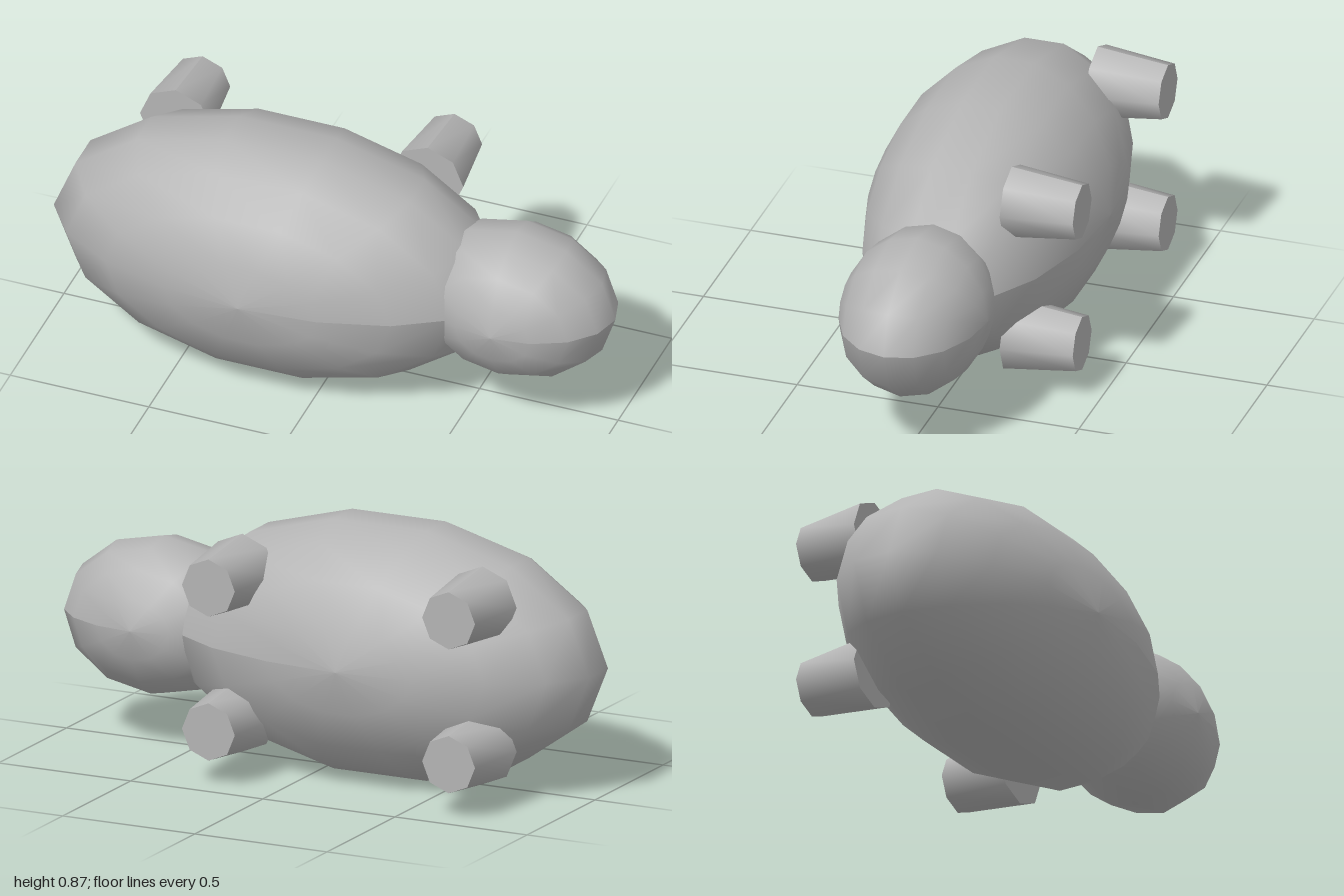
import * as THREE from 'three';

export function createModel() {
  const group = new THREE.Group();
  const grey = new THREE.MeshStandardMaterial({ color: 0xb4b4b4 });
  grey.name = 'grey';

  function add(name, geometry, x, y, z) {
    geometry.computeVertexNormals();
    const mesh = new THREE.Mesh(geometry, grey);
    mesh.name = name;
    mesh.position.set(x, y, z);
    group.add(mesh);
  }

  // Ellipsoid with its poles on the z axis and its seam on the +x side
  function ellipsoid(rx, ry, rz, segments, rings) {
    return new THREE.SphereGeometry(1, segments, rings)
      .rotateX(Math.PI / 2)
      .rotateZ(Math.PI)
      .scale(rx, ry, rz);
  }

  add('body', ellipsoid(0.803, 0.454, 0.401, 14, 9), -0.209, 0.436, 0.026);
  add('head', ellipsoid(0.355, 0.275, 0.252, 12, 8), 0.645, 0.436, 0.026);

  // Four tapered stub legs pointing backwards
  for (const [end, x] of [['front', 0.244], ['rear', -0.665]]) {
    for (const [side, dy] of [['Upper', 0.251], ['Lower', -0.251]]) {
      const leg = new THREE.CylinderGeometry(0.1, 0.129, 0.25, 8).rotateX(-Math.PI / 2);
      add(end + side + 'Leg', leg, x, 0.436 + dy, -0.301);
    }
  }
  return group;
}
